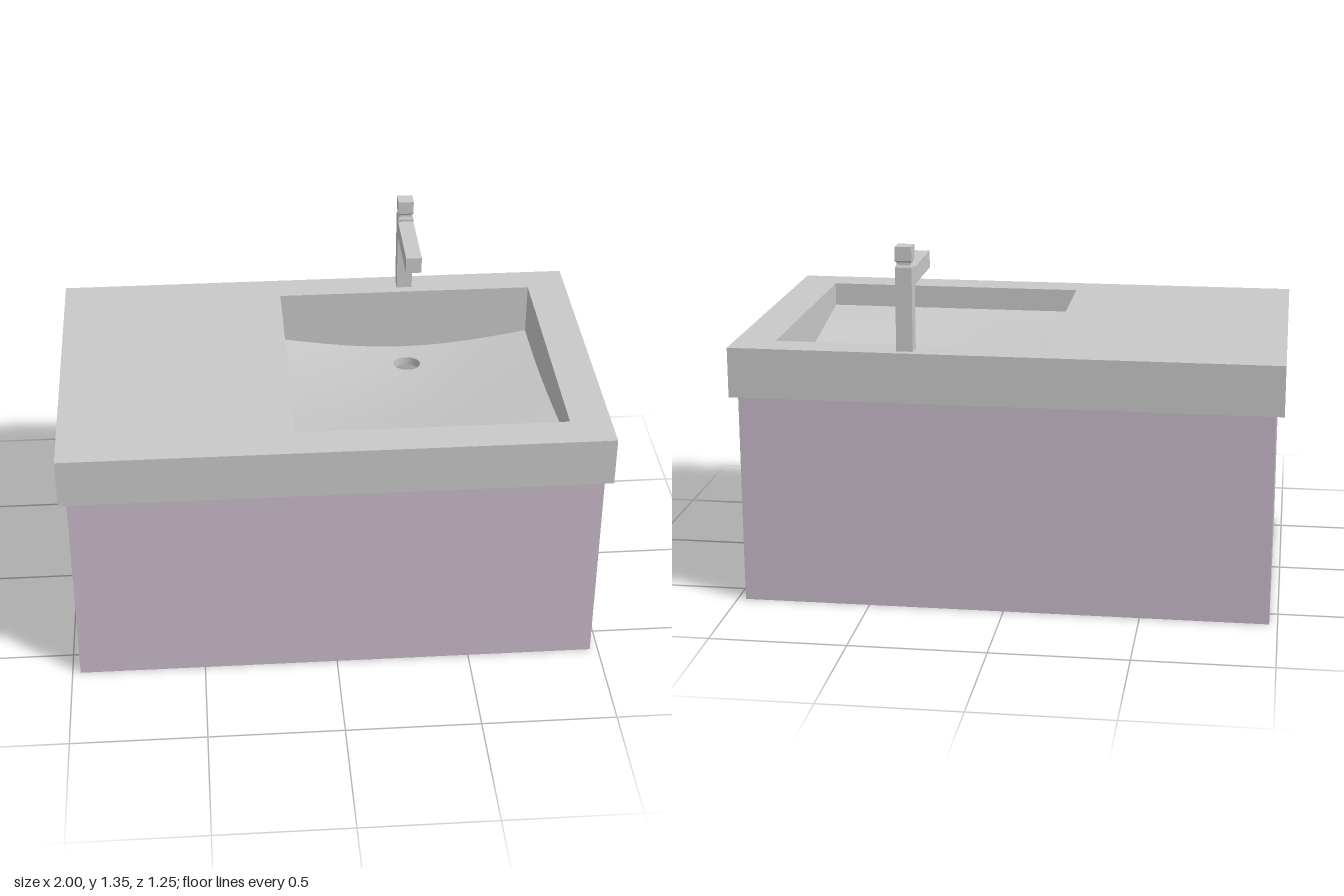
import * as THREE from 'three';

const stone = new THREE.MeshStandardMaterial({ color: 0xc8c8c8, side: THREE.DoubleSide });
stone.name = 'pale grey';
const lilac = new THREE.MeshStandardMaterial({ color: 0xc7b9c8, side: THREE.DoubleSide });
lilac.name = 'lilac';

// Skin a stack of closed loops (arrays of Vector3); flat keeps hard edges
function loft(loops, flat = true) {
  const n = loops[0].length, pos = [], index = [];
  loops.forEach(loop => loop.forEach(p => pos.push(p.x, p.y, p.z)));
  for (let i = 0; i < loops.length - 1; i++) {
    for (let j = 0; j < n; j++) {
      const a = i * n + j, b = i * n + (j + 1) % n;
      index.push(a, b, b + n, a, b + n, a + n);
    }
  }
  let g = new THREE.BufferGeometry();
  g.setAttribute('position', new THREE.Float32BufferAttribute(pos, 3));
  g.setIndex(index);
  if (flat) g = g.toNonIndexed();
  g.computeVertexNormals();
  return g;
}

// Rectangular loop at height y, starting at the front, with steps points per side
function rect(x0, x1, z0, z1, y, steps = 1) {
  const corners = [[x0, z1], [x1, z1], [x1, z0], [x0, z0]], out = [];
  corners.forEach(([x, z], k) => {
    const [nx, nz] = corners[(k + 1) % 4];
    for (let s = 0; s < steps; s++) {
      const t = s / steps;
      out.push(new THREE.Vector3(x + (nx - x) * t, y, z + (nz - z) * t));
    }
  });
  return out;
}

function add(parent, name, geometry, material) {
  const m = new THREE.Mesh(geometry, material);
  m.name = name;
  parent.add(m);
  return m;
}

const TOP = 0.97, UNDER = 0.785;
const CAB = [-0.97, 0.97, -0.605, 0.607];
const OUT = [-1, 1, -0.625, 0.625];
const BOWL = [-0.145, 0.85, -0.5, 0.49];
const DRAIN = new THREE.Vector3(0.352, 0, -0.358);

// Basin floor: shallow at the front, falling to the back and sagging mid-width
function floorY(x, z) {
  const u = (x - BOWL[0]) / (BOWL[1] - BOWL[0]);
  const fall = Math.sin(Math.PI / 2 * (BOWL[3] - z) / (BOWL[3] - BOWL[2]));
  return TOP - 0.09 - 0.11 * fall - 0.055 * fall * Math.sin(Math.PI * u);
}

export function createModel() {
  const model = new THREE.Group();
  model.name = 'washstand';

  // Cabinet, open below
  add(model, 'cabinet', loft([rect(...CAB, 0), rect(...CAB, UNDER)]), lilac);

  // Countertop: inner faces, overhanging lip and outer faces
  const counter = new THREE.Group();
  counter.name = 'countertop';
  model.add(counter);
  add(counter, 'counterSides', loft([
    rect(...CAB, TOP), rect(...CAB, UNDER), rect(...OUT, UNDER), rect(...OUT, TOP),
  ]), stone);

  // Top surface with the basin opening, as a frame
  add(counter, 'counterTop', loft([rect(...OUT, TOP), rect(...BOWL, TOP)]), stone);

  // Basin walls, curved floor and drain
  const basin = new THREE.Group();
  basin.name = 'basin';
  model.add(basin);
  const rim = rect(...BOWL, TOP, 16);
  const rings = [];
  for (let i = 0; i <= 16; i++) {
    rings.push(rim.map(p => {
      const dir = new THREE.Vector3(p.x - DRAIN.x, 0, p.z - DRAIN.z).normalize();
      const edge = DRAIN.clone().addScaledVector(dir, 0.053);
      const q = new THREE.Vector3(p.x, 0, p.z).lerp(edge, i / 16);
      q.y = floorY(q.x, q.z);
      return q;
    }));
  }
  const drainRim = rings[rings.length - 1];
  add(basin, 'basinWalls', loft([rim, rings[0]]), stone);
  add(basin, 'basinFloor', loft(rings, false), stone);
  add(basin, 'drain', loft([
    drainRim, drainRim.map(p => new THREE.Vector3(p.x, p.y - 0.035, p.z)),
  ], false), stone);

  // Faucet: square post with a pinched neck under the handle, and a box spout
  const faucet = new THREE.Group();
  faucet.name = 'faucet';
  faucet.position.set(0.355, 0, -0.566);
  model.add(faucet);
  const profile = [
    [0.03, TOP], [0.03, 1.275], [0.025, 1.285], [0.025, 1.293],
    [0.03, 1.3], [0.03, 1.35], [0, 1.35],
  ];
  add(faucet, 'postAndHandle', loft(profile.map(([r, y]) => rect(-r, r, -r, r, y))), stone);
  const spout = add(faucet, 'spout', new THREE.BoxGeometry(0.06, 0.063, 0.303), stone);
  spout.position.set(0, 1.234, 0.1815);

  return model;
}
